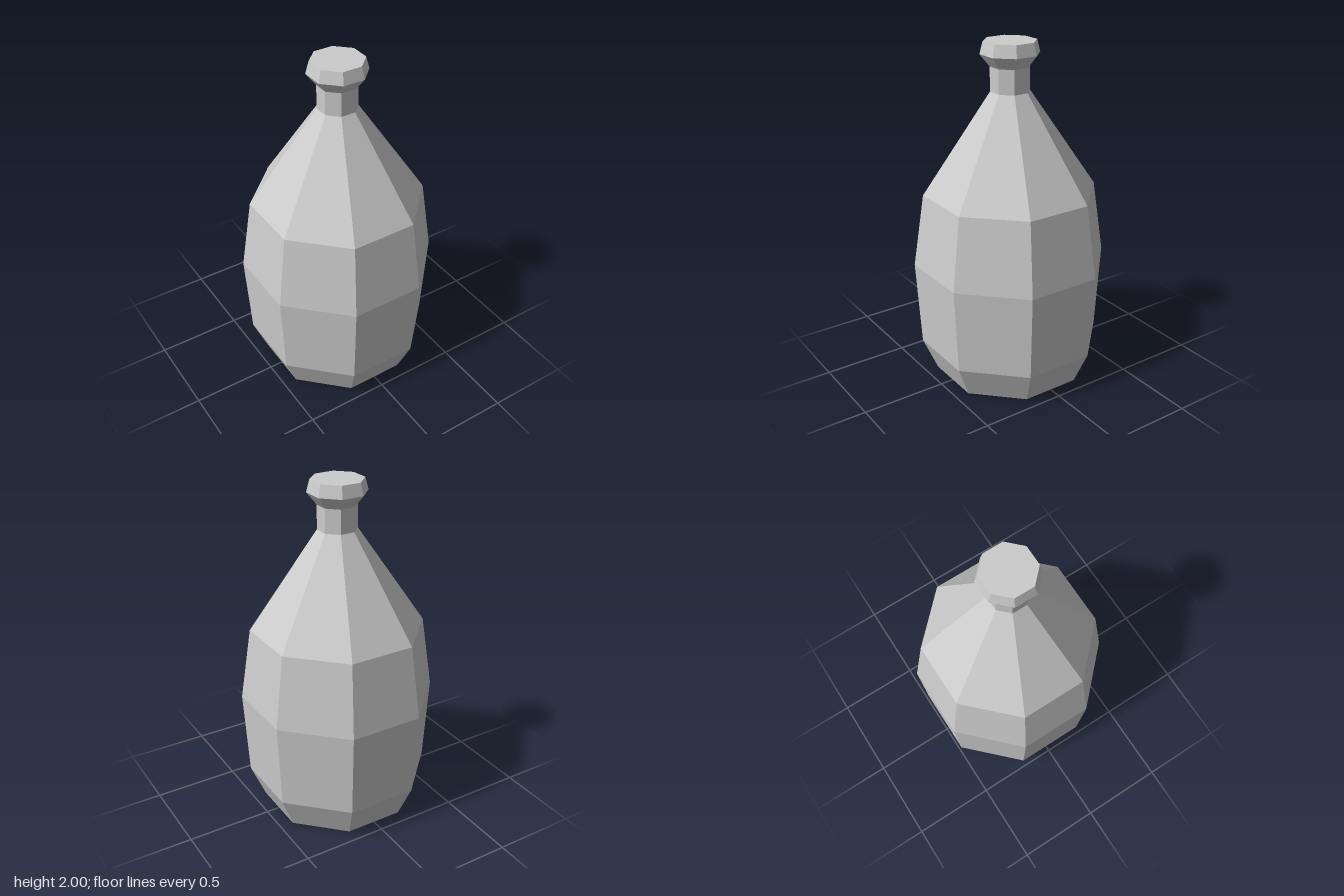
import * as THREE from 'three';

const SIDES = 8;
const toCorner = 1 / Math.cos(Math.PI / SIDES); // flat-to-flat half width -> corner radius

// Faceted ring of profile points [half width, height], flats facing the axes
function facetedPart(name, profile, material) {
  const points = profile.map(([w, y]) => new THREE.Vector2(w * toCorner, y));
  const mesh = new THREE.Mesh(
    new THREE.LatheGeometry(points, SIDES, Math.PI / SIDES), material);
  mesh.name = name;
  return mesh;
}

export function createModel() {
  const group = new THREE.Group();
  group.name = 'bottle';
  const material = new THREE.MeshStandardMaterial({ color: 0xcccccc, flatShading: true });

  group.add(
    // Closed base, bulging belly and sloping shoulder
    facetedPart('body', [
      [0, 0], [0.42, 0], [0.5, 0.2], [0.527, 0.71], [0.467, 1.14], [0.105, 1.72],
    ], material),
    // Straight neck
    facetedPart('neck', [[0.105, 1.72], [0.105, 1.86]], material),
    // Flared lip with a flat closed top
    facetedPart('lip', [
      [0.105, 1.86], [0.157, 1.93], [0.14, 2], [0, 2],
    ], material),
  );
  return group;
}
